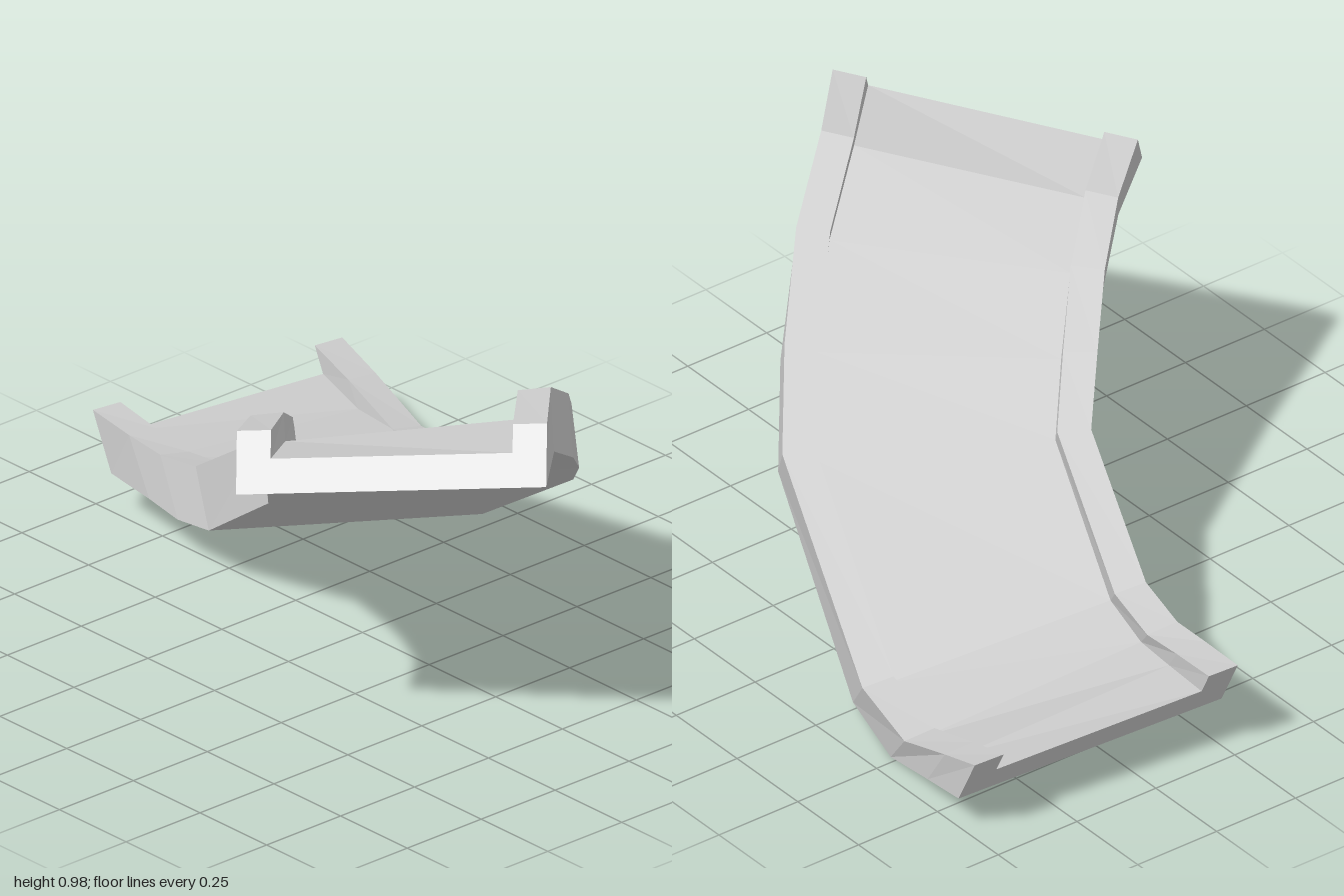
import * as THREE from 'three';

// Stations from the high end to the low end:
// near bottom edge, far bottom edge, and the tilted "up" vector of the section.
const STATIONS = [
  [[0.38, 0.77, 0.77], [1.0, 0.855, 0.28], [-0.08, 0.125, -0.075]],
  [[0.27, 0.72, 0.61], [0.83, 0.835, 0.10], [-0.09, 0.125, -0.07]],
  [[0.15, 0.62, 0.47], [0.68, 0.70, -0.10], [-0.09, 0.125, -0.065]],
  [[0.01, 0.50, 0.33], [0.48, 0.535, -0.30], [-0.095, 0.125, -0.06]],
  [[-0.12, 0.385, 0.21], [0.275, 0.375, -0.465], [-0.095, 0.125, -0.06]],
  [[-0.46, 0.153, 0.105], [-0.26, 0.03, -0.64], [-0.11, 0.122, -0.055]],
  [[-0.61, 0.12, 0.075], [-0.48, 0.0, -0.69], [-0.115, 0.125, -0.045]],
  [[-0.75, 0.118, 0.045], [-0.69, 0.06, -0.735], [-0.10, 0.135, -0.022]],
  [[-0.92, 0.12, 0.02], [-0.85, 0.095, -0.76], [-0.08, 0.145, -0.01]],
].map((s) => s.map((p) => new THREE.Vector3(...p)));

const RAIL = 0.11; // rail width as a share of the full width
const DECK = 0.55; // floor thickness as a share of the rail height

// Sweep a convex counter-clockwise section [across, up] through the stations.
// Edges listed in skip are joints with a neighbouring part and stay open.
function sweep(section, skip) {
  const rings = STATIONS.map(([near, far, up]) => section.map(([w, u]) =>
    near.clone().lerp(far, w).addScaledVector(up, u)));
  const pos = [];
  const tri = (...pts) => pts.forEach((p) => pos.push(p.x, p.y, p.z));
  const n = section.length;
  for (let s = 0; s < rings.length - 1; s++) {
    for (let i = 0; i < n; i++) {
      if (skip.includes(i)) continue;
      const j = (i + 1) % n;
      const a = rings[s][i], b = rings[s][j], c = rings[s + 1][j], d = rings[s + 1][i];
      tri(a, d, c);
      tri(a, c, b);
    }
  }
  // End caps
  const first = rings[0], last = rings[rings.length - 1];
  for (let i = 1; i < n - 1; i++) {
    tri(first[0], first[i], first[i + 1]);
    tri(last[0], last[i + 1], last[i]);
  }
  const geo = new THREE.BufferGeometry();
  geo.setAttribute('position', new THREE.Float32BufferAttribute(pos, 3));
  geo.computeVertexNormals();
  return geo;
}

export function createModel() {
  const group = new THREE.Group();
  group.name = 'curvedSlide';
  const grey = new THREE.MeshStandardMaterial({ color: 0xcccccc, flatShading: true });
  grey.name = 'light grey';

  const add = (name, section, skip) => {
    const mesh = new THREE.Mesh(sweep(section, skip), grey);
    mesh.name = name;
    group.add(mesh);
  };

  // Sliding surface between the rails
  add('floor', [[RAIL, 0], [1 - RAIL, 0], [1 - RAIL, DECK], [RAIL, DECK]], [1, 3]);

  // Raised rails on the inside and outside of the bend
  const rail = [[0, 0], [RAIL, 0], [RAIL, DECK], [RAIL, 1], [0, 1]];
  add('innerRail', rail, [1]);
  add('outerRail', rail.map(([w, u]) => [1 - w, u]).reverse(), [2]);

  return group;
}
